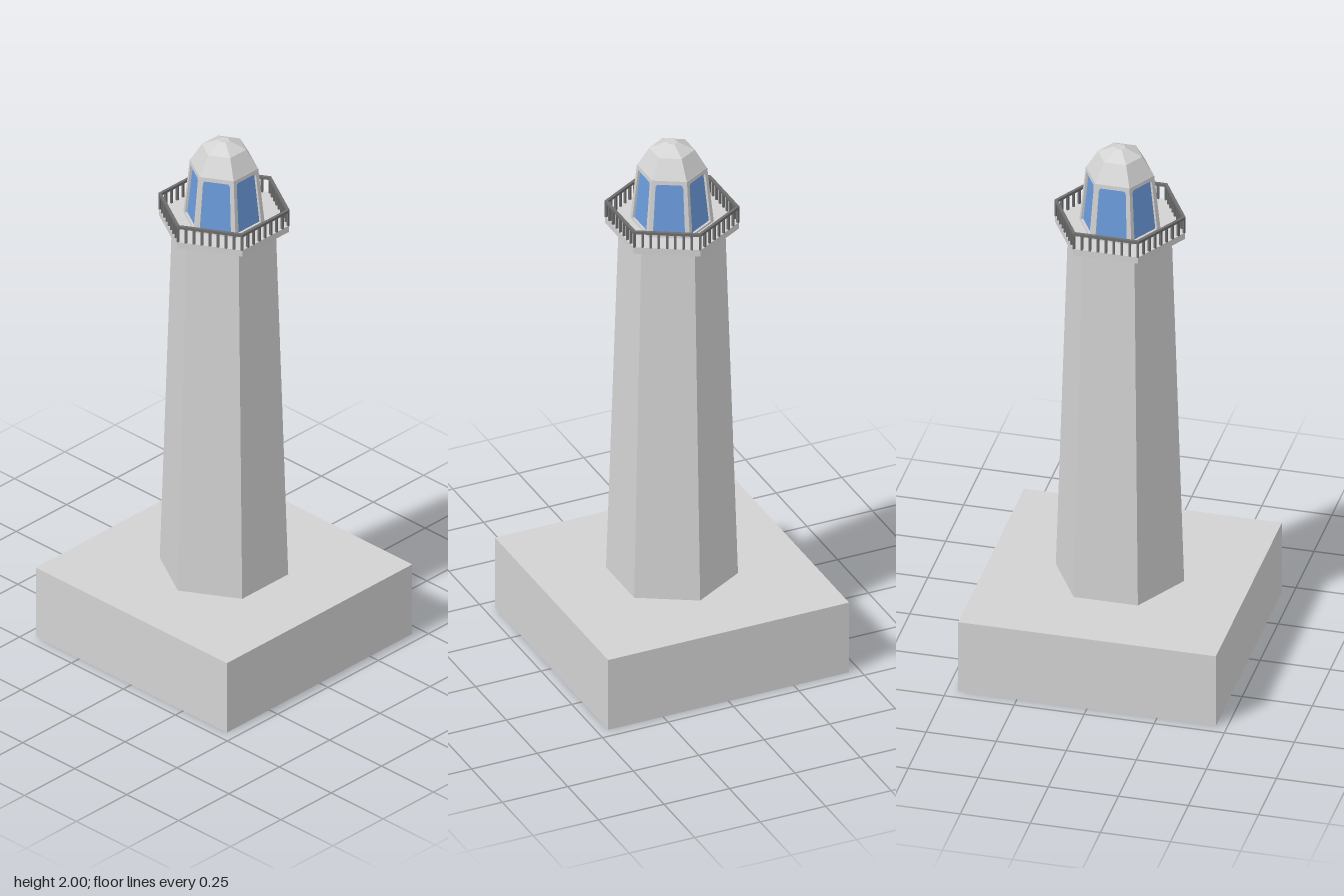
import * as THREE from 'three';

const stone = new THREE.MeshStandardMaterial({ color: 0xd2d2d2 });
const iron = new THREE.MeshStandardMaterial({ color: 0x6e6e6e });
const glass = new THREE.MeshStandardMaterial({ color: 0x6a9adb });
stone.name = 'pale stone';
iron.name = 'dark iron';
glass.name = 'blue glass';

const COS30 = Math.cos(Math.PI / 6);

// Faceted mesh: every triangle keeps its own normal
function part(name, geometry, material, parent) {
  const g = geometry.index ? geometry.toNonIndexed() : geometry;
  g.computeVertexNormals();
  const mesh = new THREE.Mesh(g, material);
  mesh.name = name;
  parent.add(mesh);
  return mesh;
}

// Six-sided prism between two heights, corners on the z axis
function hexPrism(rBottom, rTop, y0, y1) {
  return new THREE.CylinderGeometry(rTop, rBottom, y1 - y0, 6).translate(0, (y0 + y1) / 2, 0);
}

function hexPoints(r) {
  return Array.from({ length: 6 }, (_, i) => {
    const a = i * Math.PI / 3 + Math.PI / 2;
    return new THREE.Vector2(r * Math.cos(a), r * Math.sin(a));
  });
}

// Flat hexagonal ring
function hexRing(rOuter, rInner, y, height) {
  const shape = new THREE.Shape(hexPoints(rOuter));
  shape.holes.push(new THREE.Path(hexPoints(rInner)));
  return new THREE.ExtrudeGeometry(shape, { depth: height, bevelEnabled: false })
    .rotateX(-Math.PI / 2).translate(0, y, 0);
}

const outline = pairs => pairs.map(([x, y]) => new THREE.Vector2(x, y));

export function createModel() {
  const model = new THREE.Group();
  model.name = 'lighthouse';

  // Plinth, tower and gallery floor
  part('base', new THREE.BoxGeometry(0.92, 0.28, 0.92).translate(0, 0.14, 0), stone, model);
  part('tower', hexPrism(0.229, 0.185, 0.28, 1.665), stone, model);
  part('galleryDeck', hexPrism(0.232, 0.232, 1.663, 1.688), stone, model);

  // Gallery railing
  const railing = new THREE.Group();
  railing.name = 'railing';
  model.add(railing);
  part('topRail', hexRing(0.234, 0.222, 1.742, 0.01), iron, railing);
  const corners = hexPoints(0.228);
  const perSide = 8;
  corners.forEach((a, i) => {
    const b = corners[(i + 1) % 6];
    for (let k = 0; k < perSide; k++) {
      const p = a.clone().lerp(b, k / perSide);
      const bar = part('baluster', new THREE.BoxGeometry(0.008, 0.056, 0.008), iron, railing);
      bar.position.set(p.x, 1.715, p.y);
      bar.rotation.y = Math.atan2(b.x - a.x, b.y - a.y);
    }
  });

  // Lantern room: six inward-leaning window frames with recessed panes
  const rLow = 0.145, rHigh = 0.122, yLow = 1.688, yHigh = 1.903;
  const lean = (rLow - rHigh) * COS30;
  const slope = Math.hypot(lean, yHigh - yLow);
  const depth = 0.012;
  const opening = outline([[-0.056, 0.008], [0.056, 0.008], [0.048, 0.193],
    [0.042, 0.201], [-0.042, 0.201], [-0.048, 0.193]]);
  const frame = new THREE.Shape(outline([[-rLow / 2, 0], [rLow / 2, 0],
    [rHigh / 2, slope], [-rHigh / 2, slope]]));
  frame.holes.push(new THREE.Path(opening));

  for (let i = 0; i < 6; i++) {
    const side = new THREE.Group();
    side.name = 'lanternSide';
    side.rotation.y = (i + 0.5) * Math.PI / 3;
    model.add(side);
    const wall = new THREE.Group();
    wall.name = 'window';
    wall.position.set(0, yLow, rLow * COS30);
    wall.rotation.x = -Math.atan2(lean, yHigh - yLow);
    side.add(wall);
    part('windowFrame', new THREE.ExtrudeGeometry(frame, { depth, bevelEnabled: false })
      .translate(0, 0, -depth), stone, wall);
    part('windowPane', new THREE.ExtrudeGeometry(new THREE.Shape(opening),
      { depth: 0.003, bevelEnabled: false }).translate(0, 0, -depth), glass, wall);
  }

  // Faceted dome
  const profile = outline([[0, 1.9], [rHigh, 1.9], [0.079, 1.972], [0.02, 2], [0, 2]]);
  part('dome', new THREE.LatheGeometry(profile, 6), stone, model);

  return model;
}
